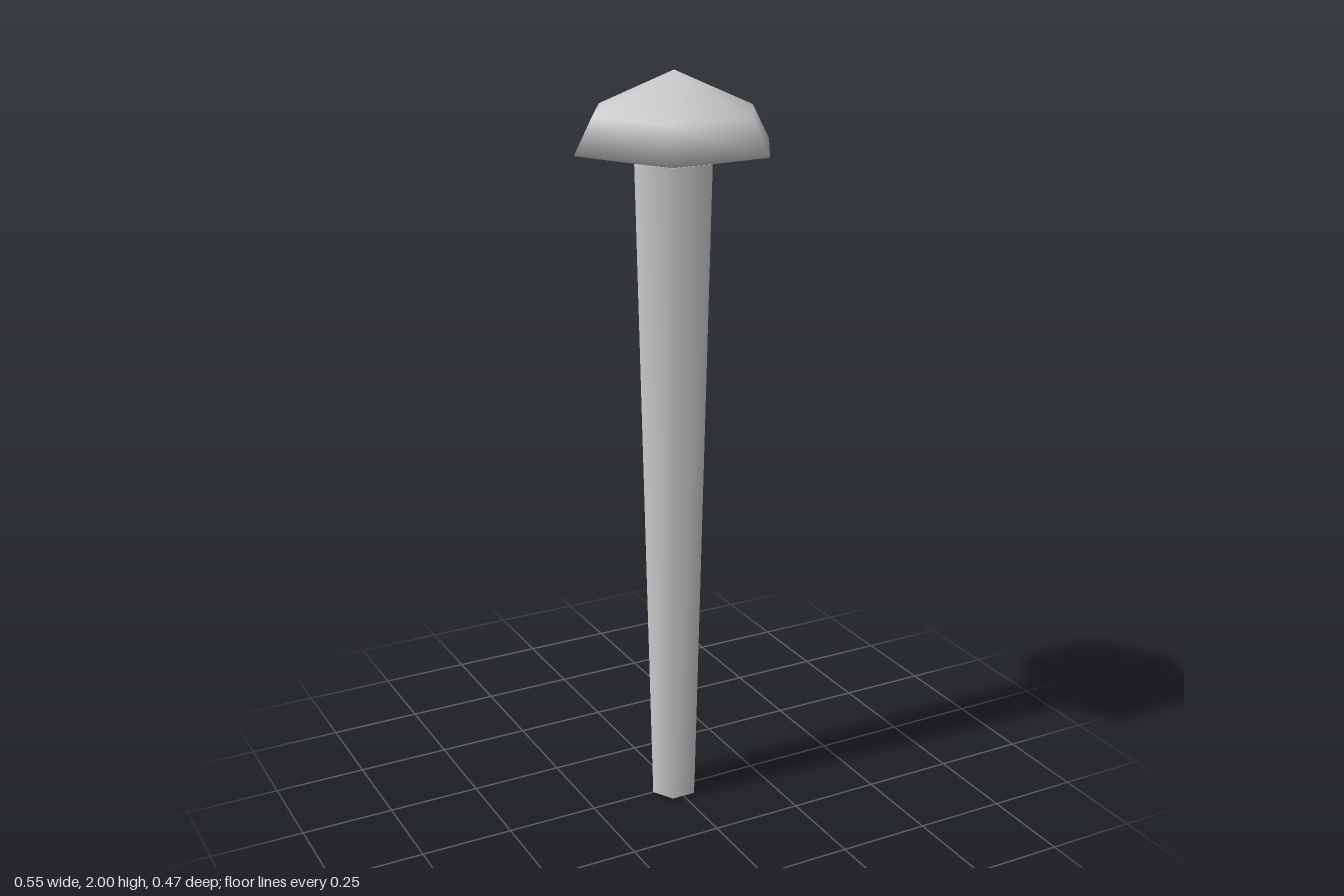
import * as THREE from 'three';

const SIDES = 6;

export function createModel() {
  const group = new THREE.Group();
  group.name = 'spike';
  const material = new THREE.MeshStandardMaterial({ color: 0xcccccc });

  // Tapered six-sided shank, corners on the x axis
  const shankHeight = 1.777;
  const shank = new THREE.Mesh(
    new THREE.CylinderGeometry(0.111, 0.066, shankHeight, SIDES, 1, false, Math.PI / 2),
    material
  );
  shank.name = 'shank';
  shank.position.y = shankHeight / 2;
  group.add(shank);

  // Domed head: underside, rim, shoulder, peak
  const profile = [[0.108, 1.777], [0.274, 1.81], [0.225, 1.9], [0, 2]]
    .map(([r, y]) => new THREE.Vector2(r, y));
  const headGeometry = new THREE.LatheGeometry(profile, SIDES, Math.PI / 2);

  // Smooth the peak by pointing its normals straight up
  const { position, normal } = headGeometry.attributes;
  for (let i = 0; i < position.count; i++) {
    if (position.getY(i) > 1.99) normal.setXYZ(i, 0, 1, 0);
  }
  const head = new THREE.Mesh(headGeometry, material);
  head.name = 'head';
  group.add(head);

  return group;
}
